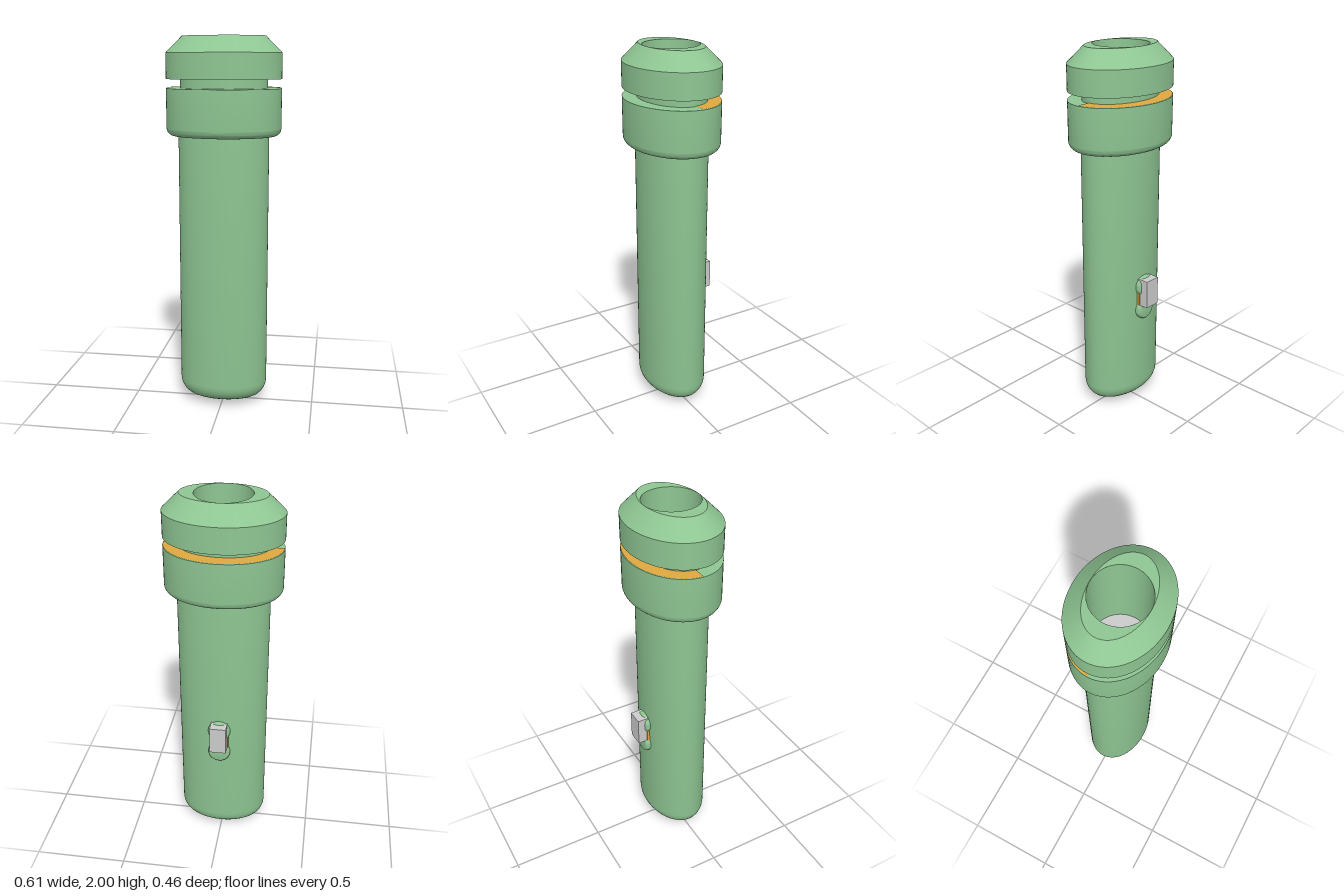
import * as THREE from 'three';
import { toCreasedNormals } from 'three/addons/utils/BufferGeometryUtils.js';

const GREEN = 0x8fc693, ORANGE = 0xe0a840, GREY = 0xcccccc;
const SPREAD = 0.072; // difference between the x and z radii of every oval

const material = (color, side = THREE.FrontSide) => new THREE.MeshStandardMaterial({ color, side });

function addMesh(parent, name, geometry, color, side) {
  const mesh = new THREE.Mesh(geometry, material(color, side));
  mesh.name = name;
  parent.add(mesh);
  return mesh;
}

// Lathe around y whose rings become ovals: z radius = x radius - SPREAD
function ovalLathe(points, start = 0, length = Math.PI * 2) {
  const geo = new THREE.LatheGeometry(points.map(p => new THREE.Vector2(...p)), 80, start, length);
  const pos = geo.attributes.position;
  for (let i = 0; i < pos.count; i++) {
    const r = Math.hypot(pos.getX(i), pos.getZ(i));
    pos.setZ(i, pos.getZ(i) * Math.max(0, r - SPREAD) / r);
  }
  return toCreasedNormals(geo, 0.6);
}

// Quarter-round from a flat underside (or face) up to the side wall
function fillet(radius, y, f, steps = 7) {
  return Array.from({ length: steps + 1 }, (_, i) => {
    const a = (i / steps) * Math.PI / 2;
    return [radius - f + f * Math.sin(a), y + f - f * Math.cos(a)];
  });
}

export function createModel() {
  const model = new THREE.Group();
  model.name = 'ovalTubeDevice';

  // Main housing
  addMesh(model, 'body', ovalLathe([[SPREAD, 0.025], ...fillet(0.241, 0.025, 0.1), [0.241, 1.5]]), GREEN);
  addMesh(model, 'collar', ovalLathe([[0.23, 1.488], ...fillet(0.304, 1.488, 0.04), [0.304, 1.735], [0.225, 1.735]]), GREEN);
  addMesh(model, 'collarBackLiner', ovalLathe([[0.302, 1.738], [0.23, 1.738]], Math.PI / 2, Math.PI), ORANGE);
  addMesh(model, 'neck', ovalLathe([[0.231, 1.73], [0.231, 1.79]]), GREEN);
  addMesh(model, 'cap', ovalLathe([[0.225, 1.782], [0.304, 1.782], [0.304, 1.915], [0.218, 2]]), GREEN);

  // Flat rim around the round opening
  const rim = new THREE.Shape().absellipse(0, 0, 0.218, 0.146, 0, Math.PI * 2);
  rim.holes.push(new THREE.Path().absarc(0, 0, 0.1445, 0, Math.PI * 2, true));
  addMesh(model, 'rim', new THREE.ShapeGeometry(rim, 40).rotateX(-Math.PI / 2).translate(0, 2, 0), GREEN);

  // Bore and its floor
  addMesh(model, 'bore', new THREE.CylinderGeometry(0.1445, 0.1445, 0.5, 64, 1, true).translate(0, 1.75, 0), GREEN, THREE.DoubleSide);
  addMesh(model, 'boreFloor', new THREE.CircleGeometry(0.1445, 64).rotateX(-Math.PI / 2).translate(0, 1.5, 0), GREY, THREE.DoubleSide);

  // Round buttons and slider on the back
  const controls = new THREE.Group();
  controls.name = 'controls';
  model.add(controls);
  const edge = fillet(0.06, 0, 0.018, 5).reverse().map(([r, y]) => new THREE.Vector2(r, 0.032 - y));
  const profile = [new THREE.Vector2(0.06, 0), ...edge, new THREE.Vector2(0, 0.032)];
  for (const [name, y] of [['upperButton', 0.73], ['lowerButton', 0.592]]) {
    const geo = toCreasedNormals(new THREE.LatheGeometry(profile, 40), 0.6);
    addMesh(controls, name, geo.rotateX(-Math.PI / 2).translate(0, y, -0.16), GREEN);
  }
  addMesh(controls, 'buttonBridge', new THREE.BoxGeometry(0.1, 0.07, 0.03).translate(0, 0.66, -0.165), ORANGE);
  addMesh(controls, 'slider', new THREE.BoxGeometry(0.088, 0.155, 0.07).translate(0, 0.702, -0.195), GREY);

  // Connector under the base
  addMesh(model, 'connector', new THREE.BoxGeometry(0.106, 0.04, 0.038).translate(-0.005, 0.02, 0), GREY);

  return model;
}
